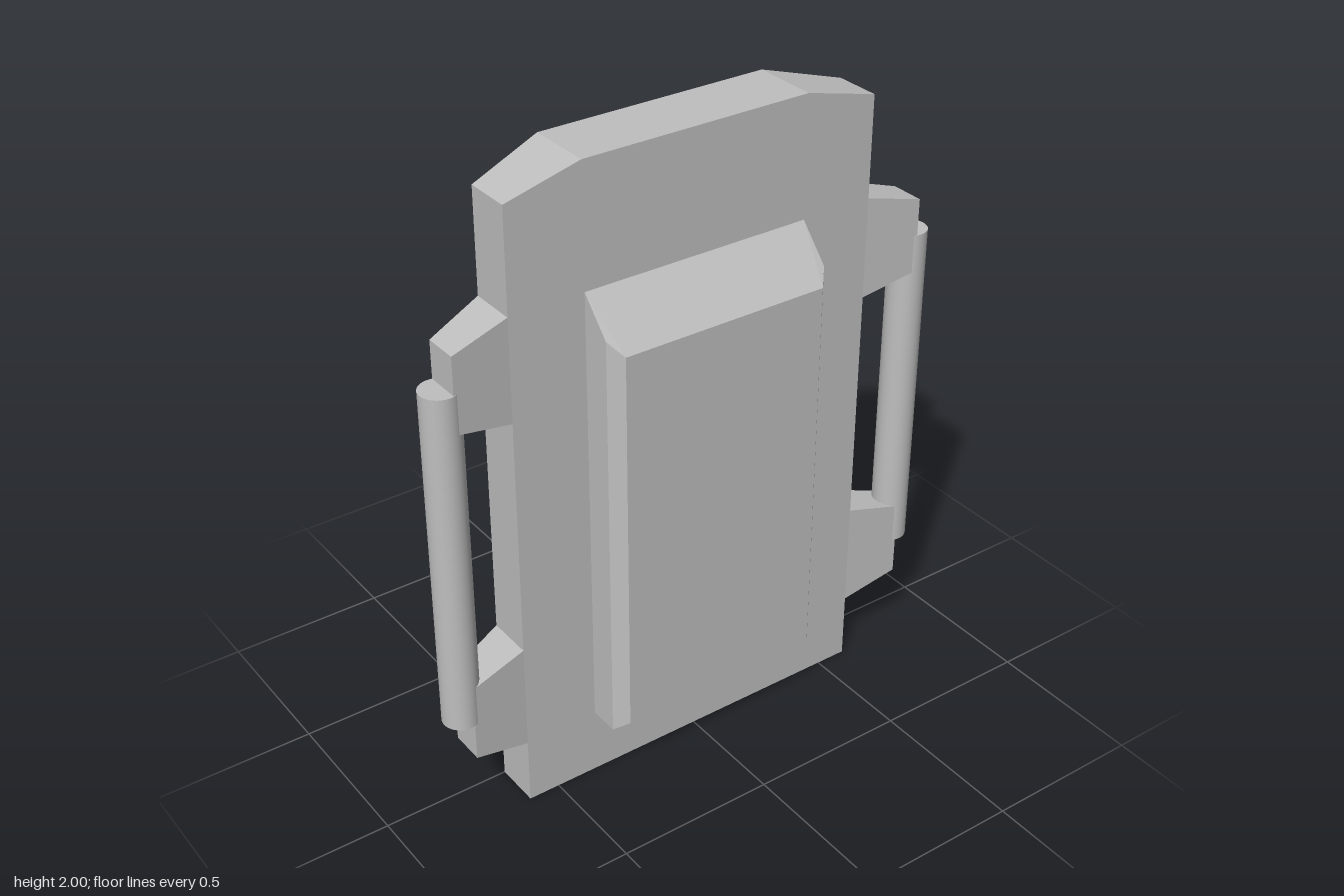
import * as THREE from 'three';
import { ConvexGeometry } from 'three/addons/geometries/ConvexGeometry.js';

const grey = new THREE.MeshStandardMaterial({ color: 0xbfbfbf });
grey.name = 'plain grey';

const add = (parent, name, geometry) => {
  const mesh = new THREE.Mesh(geometry, grey);
  mesh.name = name;
  parent.add(mesh);
  return mesh;
};

// Faceted solid wrapped around a few corners
const hull = (points) => new ConvexGeometry(points.map((p) => new THREE.Vector3(...p)));

// Box from its minimum and maximum corners
const block = (x0, y0, z0, x1, y1, z1) =>
  new THREE.BoxGeometry(x1 - x0, y1 - y0, z1 - z0)
    .translate((x0 + x1) / 2, (y0 + y1) / 2, (z0 + z1) / 2);

// Plan outline of [x, z] points raised from y0 to y1
const raise = (outline, y0, y1) => {
  const shape = new THREE.Shape(outline.map(([x, z]) => new THREE.Vector2(x, -z)));
  return new THREE.ExtrudeGeometry(shape, { depth: y1 - y0, bevelEnabled: false })
    .rotateX(-Math.PI / 2).translate(0, y0, 0);
};

export function createModel() {
  const model = new THREE.Group();
  model.name = 'handledCase';
  const face = 0.145, rim = 0.335, edge = 0.365, upper = -0.133, lower = -0.185;

  // Front slab with clipped top corners
  const outline = new THREE.Shape(
    [[-0.6, 0], [0.6, 0], [0.6, 1.94], [edge, 2], [-edge, 2], [-0.6, 1.94]]
      .map((p) => new THREE.Vector2(...p)));
  add(model, 'frontSlab', new THREE.ExtrudeGeometry(outline, { depth: face, bevelEnabled: false }));

  // Raised front panel with bevelled rim and long top slope
  const panel = [];
  for (const s of [-1, 1]) {
    panel.push(
      [s * edge, 0.215, face], [s * edge, 1.625, face],
      [s * edge, 0.215, 0.24], [s * edge, 1.52, 0.24],
      [s * 0.33, 0.25, 0.28], [s * 0.33, 1.48, 0.28]);
  }
  add(model, 'frontPanel', hull(panel));

  // Back bars closing the two recesses
  const cap = [];
  for (const s of [-1, 1]) {
    cap.push([s * 0.6, 1.94, 0], [s * edge, 1.94, upper], [s * edge, 2, -0.06], [s * edge, 2, 0]);
  }
  add(model, 'topCap', hull(cap));
  add(model, 'topBar', block(-rim, 1.9, upper, rim, 1.94, 0));
  add(model, 'bottomBar', block(-rim, 0, lower, rim, 0.03, 0));

  // Angled strap across the back, with a filled core
  add(model, 'backStrap', raise([
    [edge, upper], [0.22, -0.28], [-0.22, -0.28], [-edge, upper],
    [-rim, -0.138], [-0.2, -0.214], [0.2, -0.214], [rim, -0.138]], 0.61, 1.31));
  add(model, 'strapCore', raise([
    [rim, 0], [rim, -0.138], [0.2, -0.214], [-0.2, -0.214], [-rim, -0.138], [-rim, 0]], 0.8, 1.1));

  for (const s of [1, -1]) {
    const side = new THREE.Group();
    side.name = s > 0 ? 'leftSide' : 'rightSide';
    model.add(side);

    // Sloping back walls: the lower one is deeper, with a slanted shoulder
    const upperWall = [], lowerWall = [];
    for (const y of [0.67, 1.94]) {
      upperWall.push([s * 0.6, y, 0], [s * edge, y, upper], [s * rim, y, upper], [s * rim, y, 0]);
    }
    for (const y of [0, 0.61]) lowerWall.push([s * edge, y, lower], [s * rim, y, lower]);
    lowerWall.push([s * 0.6, 0, 0], [s * rim, 0, 0], ...upperWall.slice(0, 4));
    add(side, 'upperBackWall', hull(upperWall));
    add(side, 'lowerBackWall', hull(lowerWall));

    // Tapered lugs: inner bottom and top, outer bottom and top
    for (const [a, b, c, d] of [[1.307, 1.625, 1.347, 1.58], [0.215, 0.555, 0.265, 0.512]]) {
      const lug = [];
      for (const y of [a, b]) lug.push([s * 0.6, y, 0], [s * 0.6, y, face]);
      for (const y of [c, d]) lug.push([s * 0.78, y, 0.057], [s * 0.78, y, 0.165]);
      add(side, 'handleLug', hull(lug));
    }

    // Round grip
    add(side, 'handle', new THREE.CylinderGeometry(0.057, 0.057, 1.08, 32))
      .position.set(s * 0.793, 0.925, 0.112);
  }
  return model;
}
